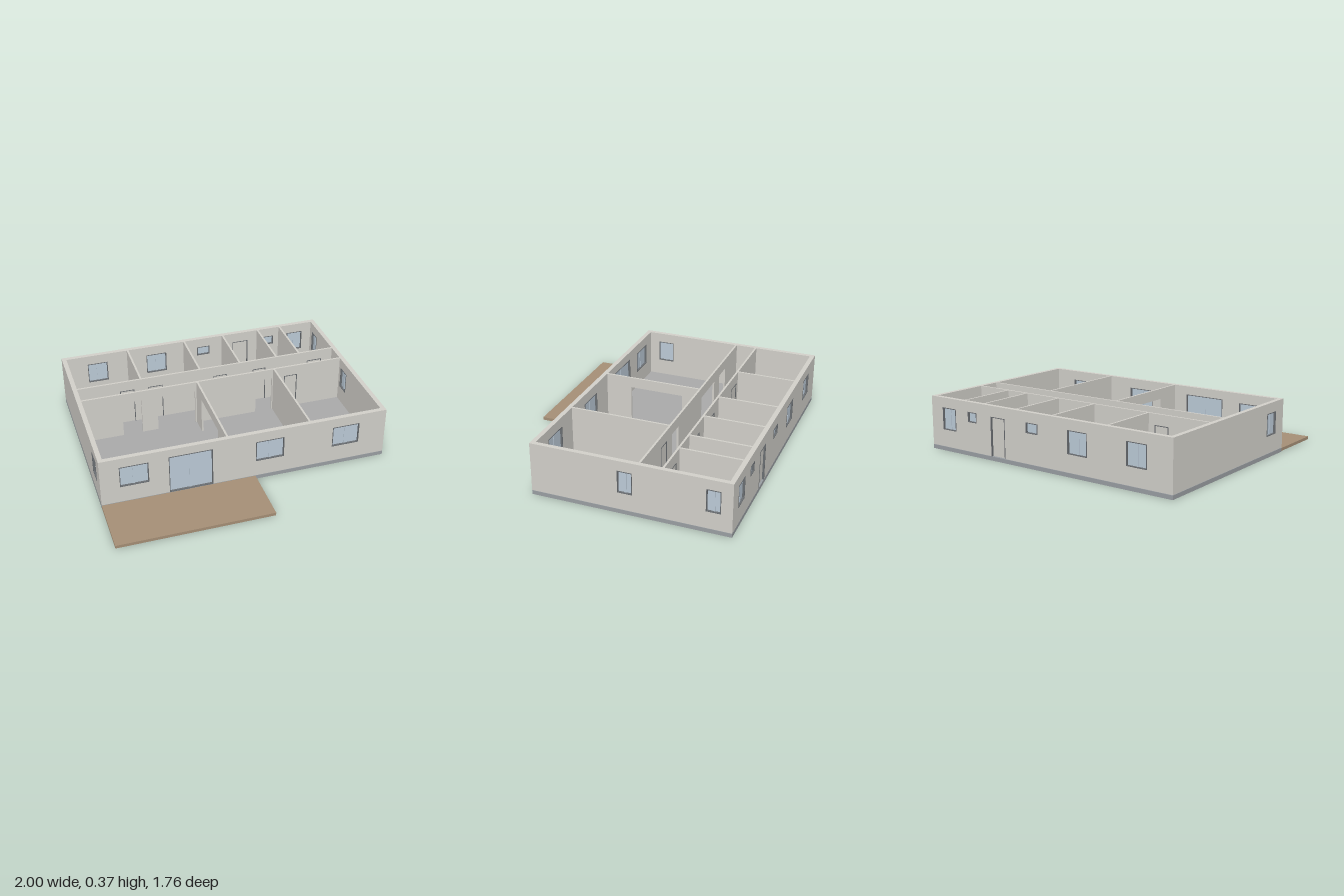
import * as THREE from 'three';

const mat = (color) => new THREE.MeshStandardMaterial({ color });
const WALL = mat(0xd2d0ca), FLOOR = mat(0xaaaaaa), BASE = mat(0x9a9fa3);
const GLASS = mat(0xbccbd8), FRAME = mat(0x6a6e72), DECK = mat(0xa58f76);

const Y0 = 0.03, Y1 = 0.374;      // floor level and wall top
const SILL = 0.15, HEAD = 0.305;  // window heights

// Box given by its minimum and maximum corners
function block(name, material, a, b) {
  const m = new THREE.Mesh(new THREE.BoxGeometry(b[0] - a[0], b[1] - a[1], b[2] - a[2]), material);
  m.position.set((a[0] + b[0]) / 2, (a[1] + b[1]) / 2, (a[2] + b[2]) / 2);
  m.name = name;
  return m;
}

// Openings: u0..u1 along the wall, y0..y1 in height
const win = (u0, u1, y0 = SILL) => ({ u0, u1, y0, y1: HEAD, kind: 'window' });
const slider = (u0, u1) => ({ u0, u1, y0: Y0, y1: 0.315, kind: 'window' });
const door = (u0, u1) => ({ u0, u1, y0: Y0, y1: 0.3, kind: 'door' });
const gap = (u0, u1) => ({ u0, u1, y0: Y0, y1: 0.3, kind: 'gap' });

// Frame and filling of a window or a door, centred in the wall thickness
function filling(o, t) {
  const g = new THREE.Group();
  g.name = o.kind;
  const f = 0.005, d = t / 2 + 0.002;
  const bar = (u0, y0, u1, y1, depth, material, name) =>
    g.add(block(name, material, [u0, y0, -depth], [u1, y1, depth]));
  bar(o.u0, o.y0, o.u0 + f, o.y1, d, FRAME, 'frameJamb');
  bar(o.u1 - f, o.y0, o.u1, o.y1, d, FRAME, 'frameJamb');
  bar(o.u0 + f, o.y1 - f, o.u1 - f, o.y1, d, FRAME, 'frameHead');
  if (o.kind === 'window') {
    bar(o.u0 + f, o.y0, o.u1 - f, o.y0 + f, d, FRAME, 'frameSill');
    bar(o.u0 + f, o.y0 + f, o.u1 - f, o.y1 - f, 0.003, GLASS, 'glass');
    const c = (o.u0 + o.u1) / 2;
    if (o.y0 < 0.2) bar(c - 0.008, o.y0 + f, c + 0.008, o.y1 - f, 0.007, GLASS, 'mullion');
  } else {
    bar(o.u0 + f, o.y0, o.u1 - f, o.y1 - f, 0.004, WALL, 'doorLeaf');
  }
  return g;
}

// Wall along x or z, from u0 to u1, centred at offset c with thickness t
function wall(name, axis, u0, u1, c, t, openings = []) {
  const g = new THREE.Group();
  g.name = name;
  const s = new THREE.Shape();
  s.moveTo(u0, Y0);
  openings.filter((o) => o.y0 <= Y0).sort((a, b) => a.u0 - b.u0).forEach((o) => {
    s.lineTo(o.u0, Y0); s.lineTo(o.u0, o.y1);
    s.lineTo(o.u1, o.y1); s.lineTo(o.u1, Y0);
  });
  s.lineTo(u1, Y0); s.lineTo(u1, Y1); s.lineTo(u0, Y1); s.closePath();
  for (const o of openings.filter((p) => p.y0 > Y0)) {
    const h = new THREE.Path();
    h.moveTo(o.u0, o.y0); h.lineTo(o.u0, o.y1);
    h.lineTo(o.u1, o.y1); h.lineTo(o.u1, o.y0); h.closePath();
    s.holes.push(h);
  }
  const geo = new THREE.ExtrudeGeometry(s, { depth: t, bevelEnabled: false });
  geo.translate(0, 0, -t / 2);
  const m = new THREE.Mesh(geo, WALL);
  m.name = name + 'Panel';
  g.add(m);
  openings.filter((o) => o.kind !== 'gap').forEach((o) => g.add(filling(o, t)));
  if (axis === 'z') {
    g.rotation.y = -Math.PI / 2;
    g.position.x = c;
  } else g.position.z = c;
  return g;
}

export function createModel() {
  const house = new THREE.Group();
  house.name = 'house';
  const T = 0.032, P = 0.014, back = -0.88, front = 0.47;
  const inB = back + T, inF = front - T, inX = 1 - T;
  const hallB = -0.425, hallF = -0.269;

  // Foundation, floor and terrace
  house.add(block('foundation', BASE, [-1, 0, back], [1, 0.028, front]));
  house.add(block('floor', FLOOR, [-inX - 0.01, 0.028, inB - 0.01], [inX + 0.01, Y0 + 0.001, inF + 0.01]));
  house.add(block('terrace', DECK, [-1, 0.005, front], [0.06, 0.026, 0.88]));

  // Outer walls
  house.add(wall('frontWall', 'x', -1, 1, front - T / 2, T,
    [win(-0.87, -0.675), slider(-0.54, -0.24), win(0.06, 0.26), win(0.61, 0.805)]));
  house.add(wall('backWall', 'x', -1, 1, back + T / 2, T,
    [win(-0.815, -0.665), win(-0.365, -0.21), win(0.035, 0.135, 0.235), door(0.32, 0.445),
      win(0.575, 0.655, 0.235), win(0.77, 0.895)]));
  house.add(wall('leftWall', 'z', inB, inF, 1 - T / 2, T, [win(-0.805, -0.71), win(-0.23, -0.13)]));
  house.add(wall('rightWall', 'z', inB, inF, -1 + T / 2, T, [win(0.245, 0.365)]));

  // Hallway walls
  house.add(wall('hallBackWall', 'x', -inX, inX, hallB, P,
    [door(-0.665, -0.56), door(-0.46, -0.35), door(0.035, 0.14), door(0.34, 0.44), door(0.77, 0.885)]));
  house.add(wall('hallFrontWall', 'x', -inX, inX, hallF, P,
    [gap(-0.686, -0.545), gap(-0.43, -0.15), gap(0.31, 0.435), door(0.53, 0.63)]));

  // Partitions of the back rooms and the front rooms
  for (const x of [-0.507, -0.067, 0.24, 0.525, 0.705])
    house.add(wall('backPartition', 'z', inB, hallB - P / 2, x, P));
  house.add(wall('livingPartition', 'z', hallF + P / 2, inF, -0.132, P, [gap(-0.14, 0.25)]));
  house.add(wall('kitchenPartition', 'z', hallF + P / 2, inF, 0.45, P));
  return house;
}
